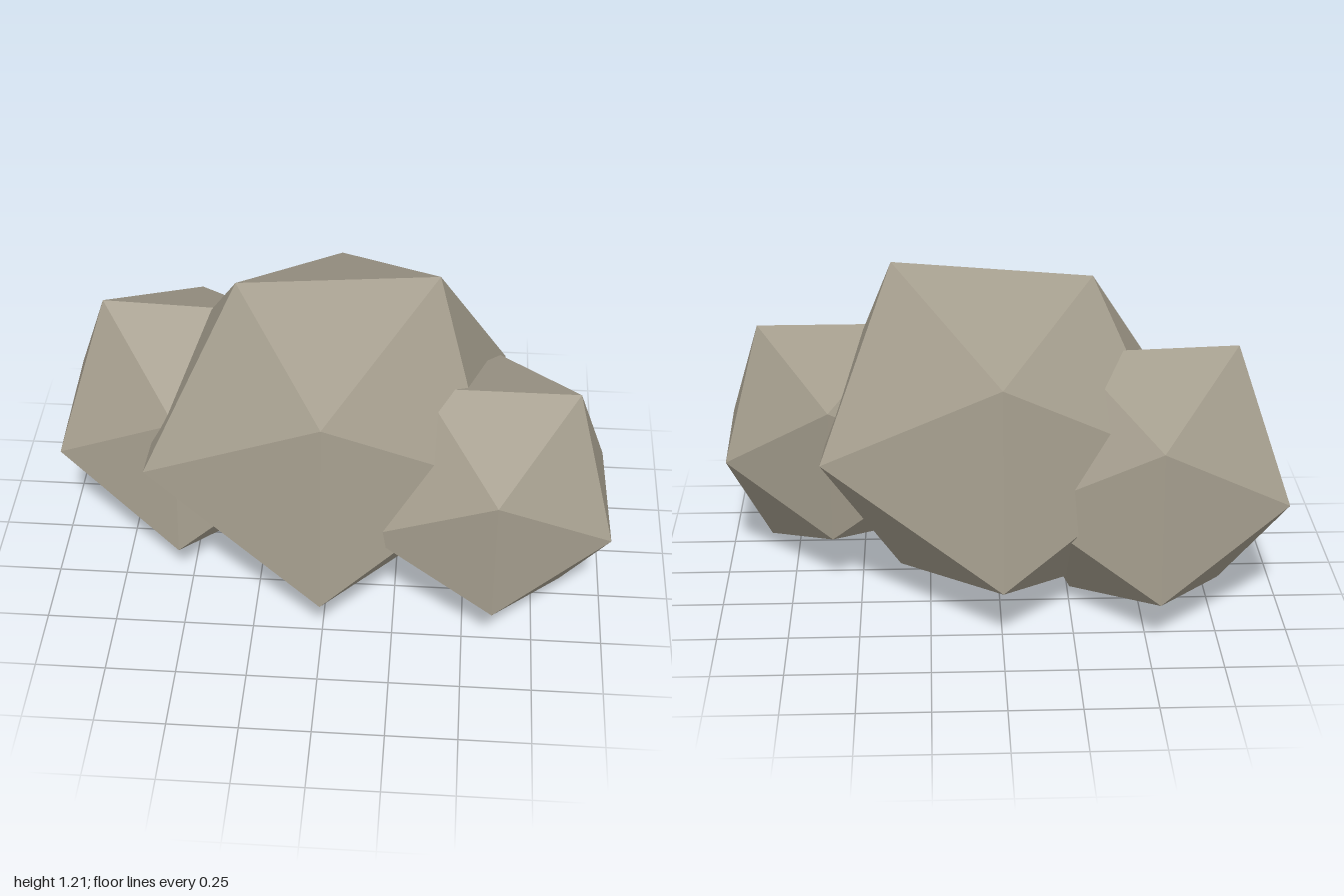
import * as THREE from 'three';

// Icosahedron corner directions, in unit length
const T = (1 + Math.sqrt(5)) / 2;
const CORNERS = [
  [-1, T, 0], [1, T, 0], [-1, -T, 0], [1, -T, 0],
  [0, -1, T], [0, 1, T], [0, -1, -T], [0, 1, -T],
  [T, 0, -1], [T, 0, 1], [-T, 0, -1], [-T, 0, 1],
].map((c) => new THREE.Vector3(...c).normalize());

// A rough boulder: an icosahedron with each corner pushed to its own radius
function boulder(name, centre, radii, material) {
  const geometry = new THREE.IcosahedronGeometry(1, 0);
  const pos = geometry.attributes.position;
  const v = new THREE.Vector3();
  for (let i = 0; i < pos.count; i++) {
    v.fromBufferAttribute(pos, i).normalize();
    const corner = CORNERS.findIndex((c) => c.dot(v) > 0.99);
    v.multiplyScalar(radii[corner]);
    pos.setXYZ(i, v.x, v.y, v.z);
  }
  geometry.computeVertexNormals();
  const mesh = new THREE.Mesh(geometry, material);
  mesh.name = name;
  mesh.position.set(...centre);
  return mesh;
}

export function createModel() {
  const stone = new THREE.MeshStandardMaterial({ color: 0xa39c8c, flatShading: true });
  stone.name = 'warm grey stone';

  const group = new THREE.Group();
  group.name = 'rockCluster';
  group.add(
    boulder('mainBoulder', [0, 0.61, 0],
      [0.64, 0.71, 0.715, 0.685, 0.73, 0.635, 0.73, 0.635, 0.735, 0.68, 0.71, 0.745], stone),
    boulder('leftBoulder', [0.6, 0.46, 0.22],
      [0.517, 0.517, 0.45, 0.48, 0.46, 0.46, 0.46, 0.52, 0.455, 0.47, 0.49, 0.525], stone),
    boulder('rightBoulder', [-0.54, 0.46, -0.16],
      [0.573, 0.55, 0.5, 0.535, 0.545, 0.48, 0.545, 0.51, 0.544, 0.53, 0.54, 0.525], stone),
  );
  return group;
}
